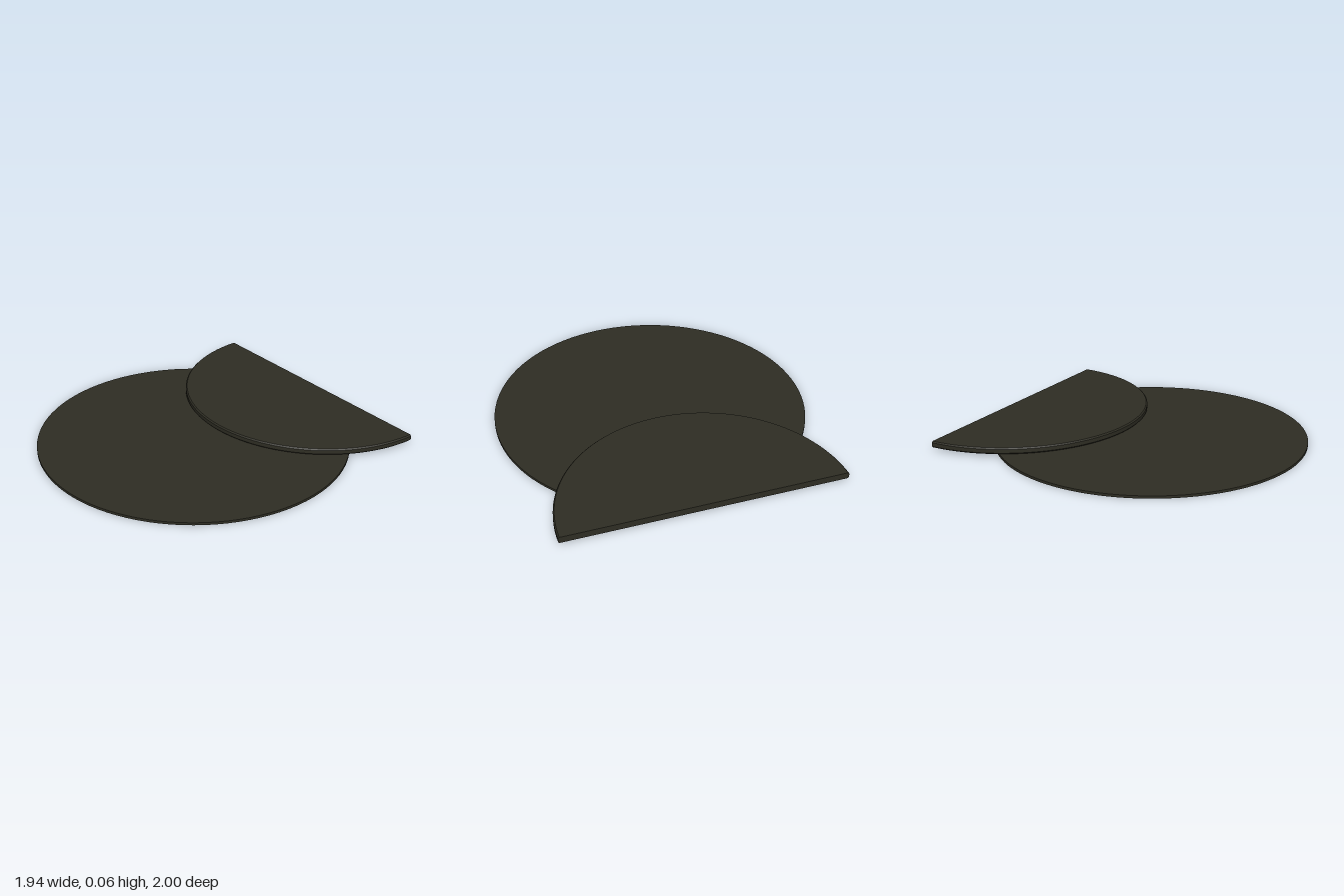
import * as THREE from 'three';
import { toCreasedNormals } from 'three/addons/utils/BufferGeometryUtils.js';

export function createModel() {
  const model = new THREE.Group();
  const darkOlive = new THREE.MeshStandardMaterial({ color: 0x2f2e24 });
  darkOlive.name = 'darkOlive';

  const add = (geometry, name, parent) => {
    const mesh = new THREE.Mesh(geometry, darkOlive);
    mesh.name = name;
    parent.add(mesh);
    return mesh;
  };

  // Thin round plate lying on the ground
  const base = add(new THREE.CylinderGeometry(0.968, 0.968, 0.016, 96), 'baseDisc', model);
  base.position.set(0, 0.008, 0.03);

  // Thicker half disc with bevelled rim, overlapping the back of the plate
  const half = new THREE.Group();
  half.name = 'halfDisc';
  half.position.set(0, 0.018, -1);
  model.add(half);

  const R = 0.866, H = 0.04, B = 0.008;
  const rim = [[R - B, 0], [R, B], [R, H - B], [R - B, H]];
  const profile = [[0, 0], ...rim, [0, H]].map(([x, y]) => new THREE.Vector2(x, y));
  const body = new THREE.LatheGeometry(profile, 64, -Math.PI / 2, Math.PI);
  add(toCreasedNormals(body, Math.PI / 6), 'halfDiscBody', half);

  // Flat wall closing the straight back edge
  const mirrored = rim.map(([x, y]) => [-x, y]).reverse();
  const outline = [...rim, ...mirrored].map(([x, y]) => new THREE.Vector2(x, y));
  const wall = new THREE.ShapeGeometry(new THREE.Shape(outline));
  add(wall.rotateY(Math.PI), 'halfDiscBackWall', half);

  return model;
}
